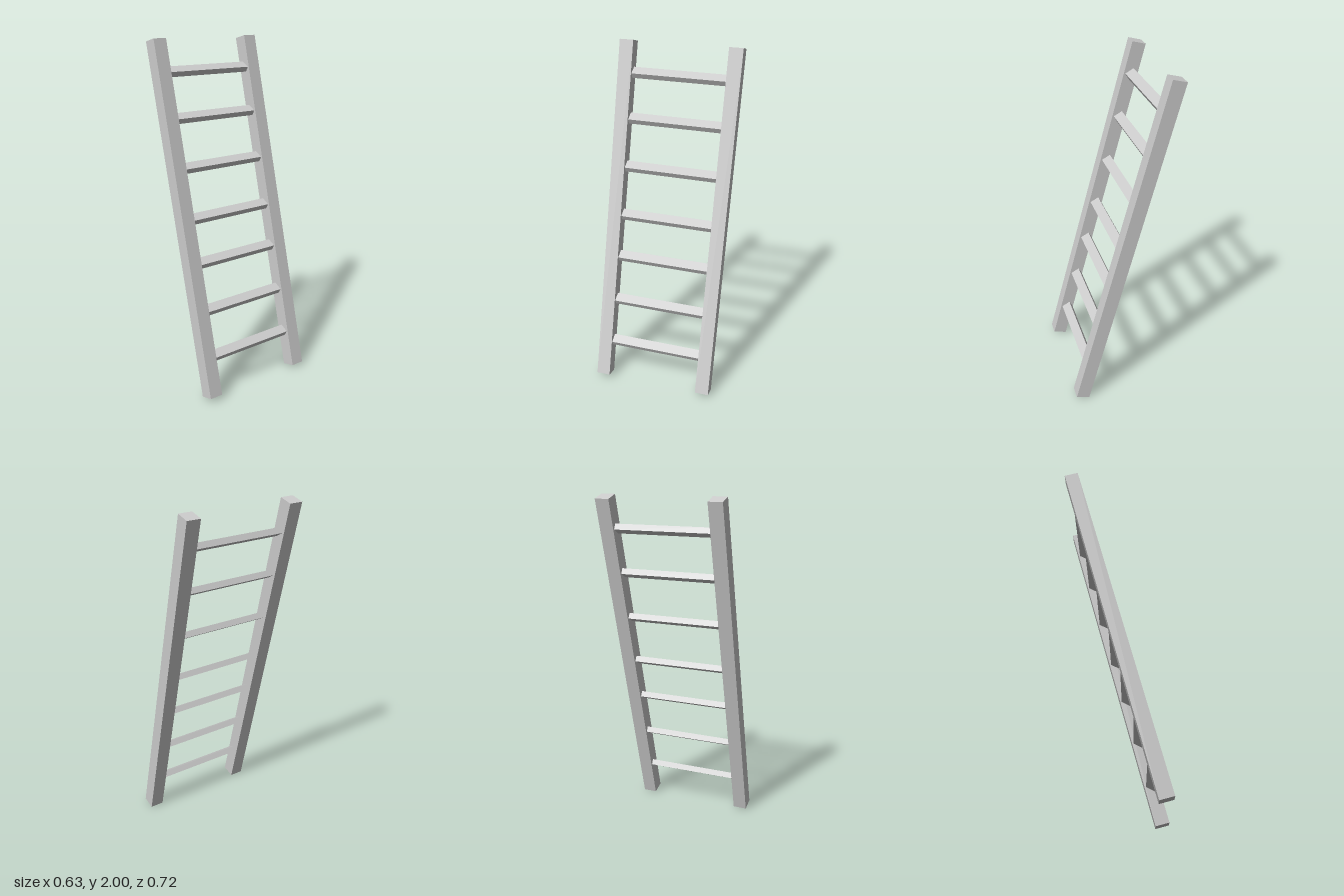
import * as THREE from 'three';

export function createModel() {
  const ladder = new THREE.Group();
  ladder.name = 'ladder';
  const material = new THREE.MeshStandardMaterial({ color: 0xcccccc, flatShading: true });

  const addBox = (name, w, h, d) => {
    const mesh = new THREE.Mesh(new THREE.BoxGeometry(w, h, d), material);
    mesh.name = name;
    ladder.add(mesh);
    return mesh;
  };

  // Two square side rails
  for (const side of [1, -1]) {
    const rail = addBox(side > 0 ? 'frontRail' : 'backRail', 0.081, 2.04, 0.081);
    rail.position.z = side * 0.317;
  }

  // Slightly unevenly spaced rungs, each turned on its long axis
  const rungHeights = [0.23, 0.491, 0.757, 1.005, 1.287, 1.56, 1.813];
  const lean = Math.atan2(0.52, 1.975);
  rungHeights.forEach((y, i) => {
    const rung = addBox('rung' + (i + 1), 0.056, 0.034, 0.62);
    rung.position.y = (y - 1) / Math.cos(lean);
    rung.rotation.z = -0.5 - lean;
  });

  // Lean the ladder along its rails, with a slight twist across the rungs
  const zAxis = new THREE.Vector3(0.0245, 0.0055, 0.634).normalize();
  const yAxis = new THREE.Vector3(-0.52, 1.975, 0).normalize();
  const xAxis = new THREE.Vector3().crossVectors(yAxis, zAxis).normalize();
  yAxis.crossVectors(zAxis, xAxis);
  ladder.quaternion.setFromRotationMatrix(new THREE.Matrix4().makeBasis(xAxis, yAxis, zAxis));
  ladder.position.set(-0.001, 1, 0);

  const model = new THREE.Group();
  model.name = 'leaningLadder';
  model.add(ladder);
  return model;
}
